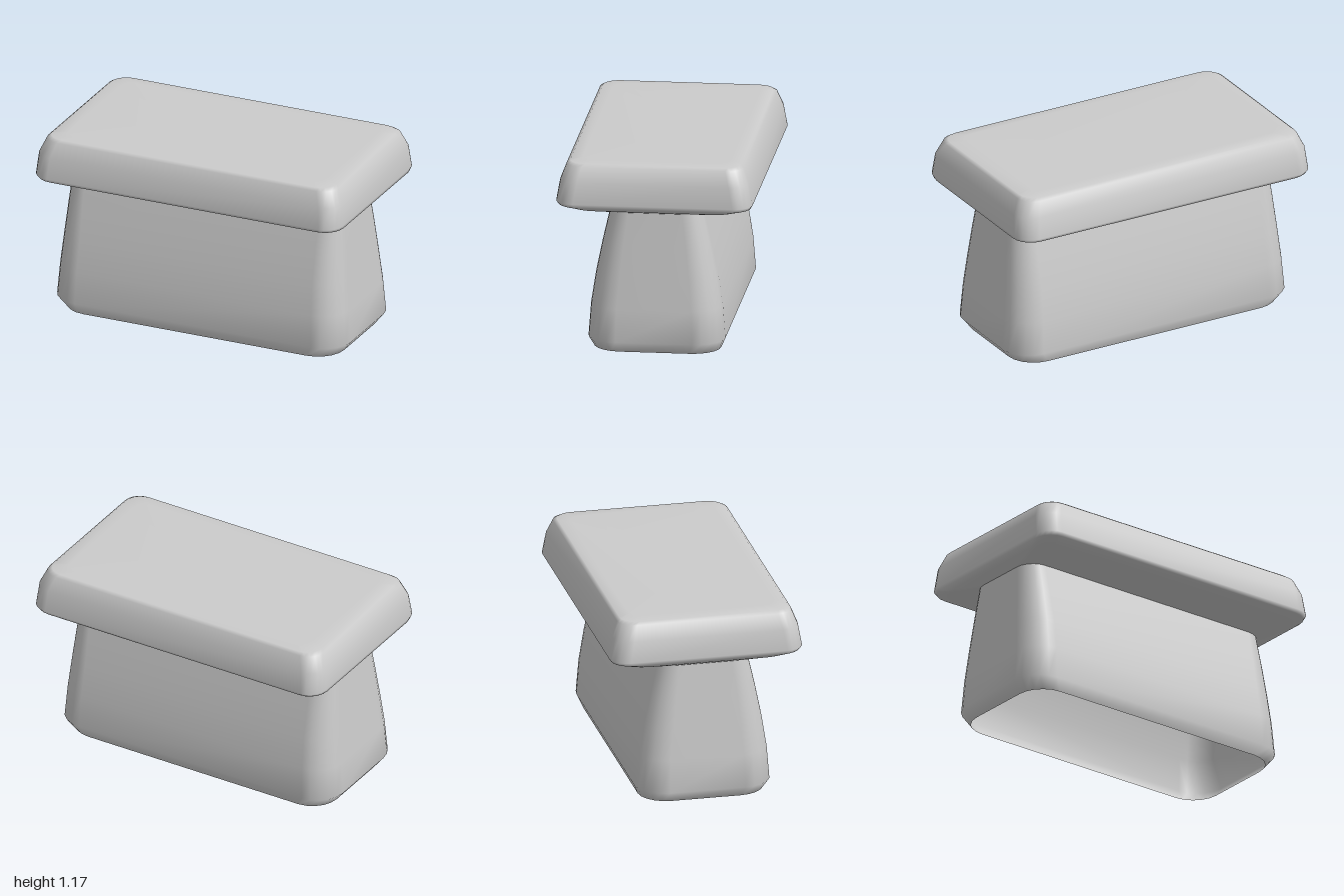
import * as THREE from 'three';

const CORNER_STEPS = 5;

// Rounded-rectangle ring: half width, half depth, corner radius, height
function ring([hx, hz, r, y], cx) {
  const points = [];
  for (let q = 0; q < 4; q++) {
    const sx = q === 0 || q === 3 ? 1 : -1;
    const sz = q < 2 ? 1 : -1;
    for (let i = 0; i <= CORNER_STEPS; i++) {
      const a = (q + i / CORNER_STEPS) * Math.PI / 2;
      points.push(cx + sx * (hx - r) + r * Math.cos(a), y, sz * (hz - r) + r * Math.sin(a));
    }
  }
  return points;
}

// Skin a stack of rings from bottom to top with smooth normals
function loft(name, sections, centreX) {
  const n = 4 * (CORNER_STEPS + 1);
  const positions = sections.flatMap((s, k) => ring(s, centreX[k] ?? 0));
  const index = [];
  for (let k = 0; k < sections.length - 1; k++) {
    for (let j = 0; j < n; j++) {
      const a = k * n + j, b = k * n + (j + 1) % n;
      index.push(a, a + n, b, b, a + n, b + n);
    }
  }
  const geometry = new THREE.BufferGeometry();
  geometry.setAttribute('position', new THREE.Float32BufferAttribute(positions, 3));
  geometry.setIndex(index);
  geometry.computeVertexNormals();
  const material = new THREE.MeshStandardMaterial({ color: 0xcccccc, side: THREE.DoubleSide });
  const mesh = new THREE.Mesh(geometry, material);
  mesh.name = name;
  return mesh;
}

export function createModel() {
  const group = new THREE.Group();
  group.name = 'pedestal';

  // Hollow flared base, open underneath, sitting slightly off centre
  const base = [
    [0.90, 0.38, 0.17, 0],
    [0.955, 0.41, 0.18, 0.07],
    [0.938, 0.395, 0.17, 0.27],
    [0.921, 0.366, 0.16, 0.46],
    [0.903, 0.325, 0.14, 0.66],
    [0.885, 0.28, 0.12, 0.855],
  ];
  group.add(loft('base', base, base.map(() => -0.015)));

  // Overhanging slab: underside, rim, sloping sides and flat top
  const slab = [
    [0.885, 0.28, 0.12, 0.855],
    [0.965, 0.50, 0.13, 0.885],
    [0.995, 0.575, 0.12, 0.908],
    [1.0, 0.588, 0.11, 0.93],
    [0.99, 0.565, 0.11, 1.06],
    [0.95, 0.53, 0.10, 1.15],
    [0.93, 0.51, 0.10, 1.165],
    [0.84, 0.44, 0.08, 1.17],
    [0.3, 0.02, 0.02, 1.17],
    [0, 0, 0, 1.17],
  ];
  group.add(loft('slab', slab, [-0.015]));

  return group;
}
